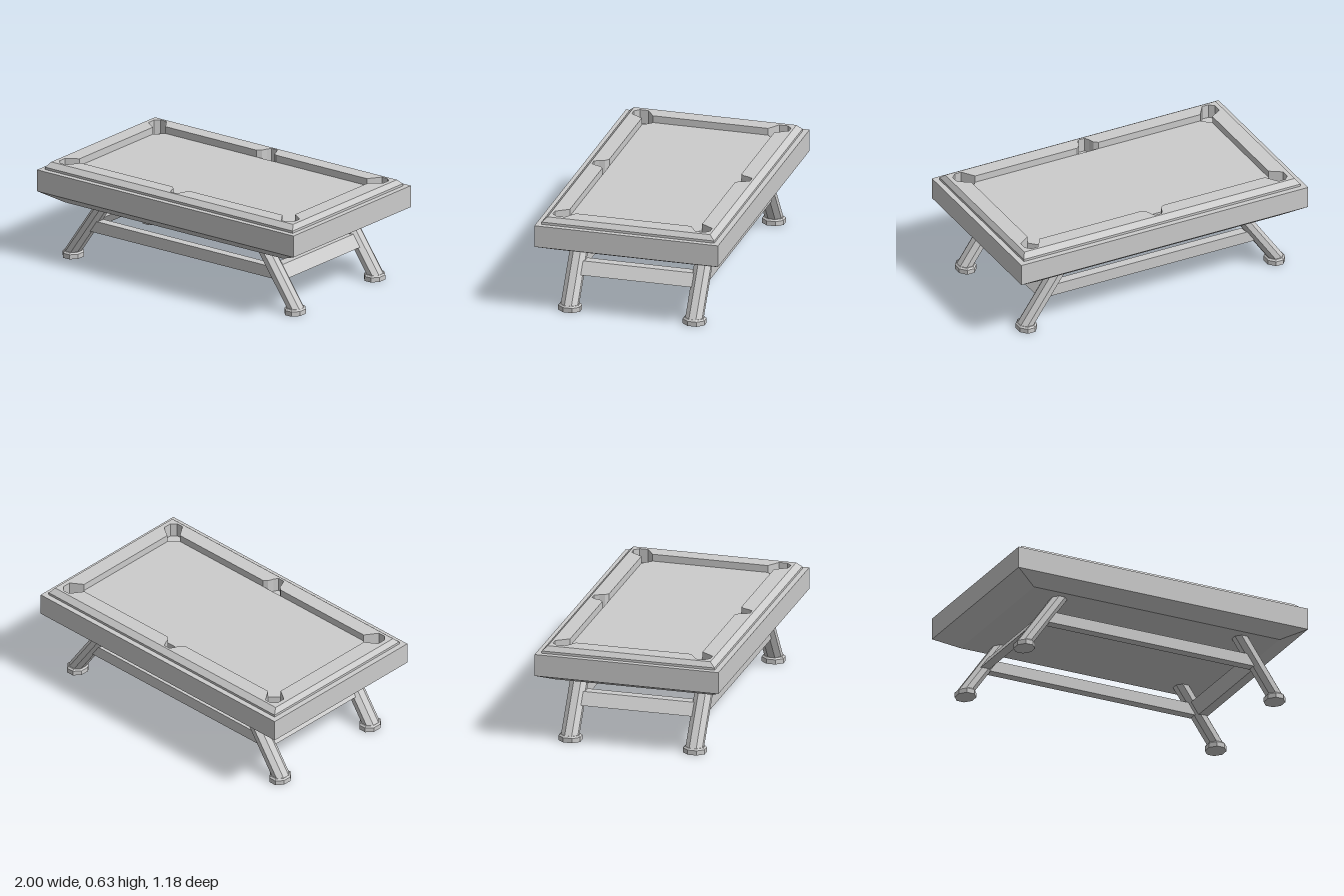
import * as THREE from 'three';

const material = new THREE.MeshStandardMaterial({ color: 0xcccccc, flatShading: true });

function addMesh(parent, geometry, name) {
  const mesh = new THREE.Mesh(geometry, material);
  mesh.name = name;
  parent.add(mesh);
  return mesh;
}

// Applies a rule to every vertex of a geometry
function deform(geometry, rule) {
  const p = geometry.attributes.position;
  const v = new THREE.Vector3();
  for (let i = 0; i < p.count; i++) {
    v.fromBufferAttribute(p, i);
    rule(v);
    p.setXYZ(i, v.x, v.y, v.z);
  }
  geometry.computeVertexNormals();
  return geometry;
}

// Pocket outlines in plan (x, z) for the +x +z quarter and the +z side
const cornerPocket = [[0.84, 0.37], [0.915, 0.42], [0.915, 0.475], [0.885, 0.505], [0.84, 0.505], [0.785, 0.425]];
const sidePocket = [[0.075, 0.425], [0.05, 0.445], [0.038, 0.48], [0.022, 0.508],
  [-0.022, 0.508], [-0.038, 0.48], [-0.05, 0.445], [-0.075, 0.425]];

const place = (points, sx, sz) => {
  const out = points.map(([x, z]) => new THREE.Vector2(x * sx, z * sz));
  return sx * sz < 0 ? out.reverse() : out;
};

// Six pockets in order around the table
const pockets = [
  place(cornerPocket, 1, 1), place(sidePocket, 1, 1), place(cornerPocket, -1, 1),
  place(cornerPocket, -1, -1), place(sidePocket, -1, -1), place(cornerPocket, 1, -1),
];

// Horizontal rectangular slab with holes, between two heights
function slab(halfX, halfZ, bottom, top, holes) {
  const shape = new THREE.Shape([[-halfX, -halfZ], [halfX, -halfZ], [halfX, halfZ], [-halfX, halfZ]]
    .map(([x, z]) => new THREE.Vector2(x, z)));
  shape.holes = holes.map((points) => new THREE.Path(points));
  return new THREE.ExtrudeGeometry(shape, { depth: top - bottom, bevelEnabled: false })
    .rotateX(Math.PI / 2).translate(0, top, 0);
}

// Octagonal prism with flats on the axes
function octagon(topHalf, bottomHalf, height) {
  const k = 1 / Math.cos(Math.PI / 8);
  return new THREE.CylinderGeometry(topHalf * k, bottomHalf * k, height, 8).rotateY(Math.PI / 8);
}

// Outward lean of the legs: x centre at a given height
const legX = (y) => 0.865 - (y - 0.04) * 0.69;

export function createModel() {
  const table = new THREE.Group();
  table.name = 'poolTable';

  // Cabinet with a sloping underside
  const body = new THREE.Group();
  body.name = 'cabinet';
  table.add(body);
  addMesh(body, new THREE.BoxGeometry(2, 0.095, 1.18).translate(0, 0.4925, 0), 'cabinetSides');
  addMesh(body, deform(new THREE.BoxGeometry(2, 0.065, 1.18).translate(0, 0.4125, 0), (v) => {
    if (v.y < 0.4) { v.x *= 0.85; v.z *= 0.85; }
  }), 'cabinetUnderside');

  // Playing bed, cut through at the pockets
  addMesh(body, slab(1, 0.59, 0.54, 0.585, pockets), 'playingBed');

  // Cushion rail: upright lip, then a part chamfered on the outside
  const rail = new THREE.Group();
  rail.name = 'cushionRail';
  table.add(rail);
  const opening = pockets.flat();
  addMesh(rail, slab(0.965, 0.555, 0.585, 0.6, [opening]), 'railLip');
  addMesh(rail, deform(slab(0.965, 0.555, 0.6, 0.63, [opening]), (v) => {
    if (v.y > 0.615 && Math.abs(v.x) > 0.95) {
      v.x = Math.sign(v.x) * 0.943;
      v.z = Math.sign(v.z) * 0.522;
    }
  }), 'railTop');

  // Leaning octagonal legs on octagonal feet
  for (const sx of [1, -1]) {
    for (const sz of [1, -1]) {
      const leg = new THREE.Group();
      leg.name = `${sz > 0 ? 'front' : 'back'}${sx > 0 ? 'Left' : 'Right'}Leg`;
      table.add(leg);
      const post = octagon(0.054, 0.054, 0.365).scale(0.92, 1, 1).translate(0, 0.2075, 0);
      addMesh(leg, deform(post, (v) => {
        v.x = v.x + sx * legX(v.y);
        v.z += sz * 0.4;
      }), 'legPost');
      const footX = sx * 0.865;
      addMesh(leg, octagon(0.07, 0.07, 0.03).scale(0.86, 1, 1).translate(footX, 0.015, sz * 0.4), 'foot');
      addMesh(leg, octagon(0.06, 0.07, 0.01).scale(0.86, 1, 1).translate(footX, 0.035, sz * 0.4), 'footBevel');
    }
  }

  // Stretchers joining the legs
  for (const s of [1, -1]) {
    const long = new THREE.BoxGeometry(1.46, 0.075, 0.06).translate(0, 0.2375, s * 0.4);
    addMesh(table, deform(long, (v) => { v.x = Math.sign(v.x) * legX(v.y); }),
      s > 0 ? 'frontStretcher' : 'backStretcher');
    const cross = new THREE.BoxGeometry(0.06, 0.075, 0.8).translate(0, 0.2375, 0);
    addMesh(table, deform(cross, (v) => { v.x += s * legX(v.y); }),
      s > 0 ? 'leftStretcher' : 'rightStretcher');
  }

  return table;
}
